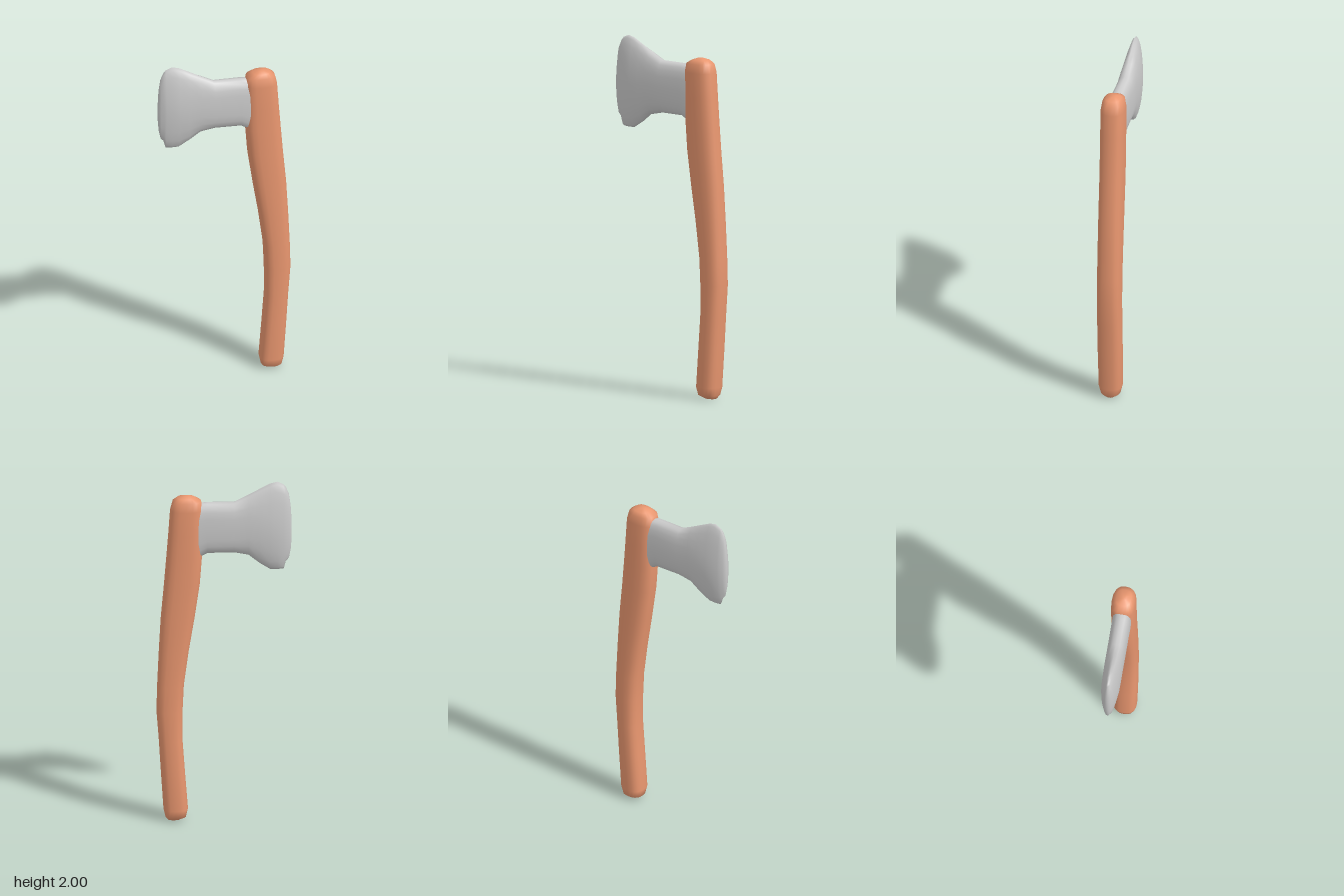
import * as THREE from 'three';

const SIDES = 20;

// Point on a rounded outline: power 2 is an ellipse, larger is boxier
function rounded(i, power) {
  const a = (i / SIDES) * Math.PI * 2;
  const bend = (v) => Math.sign(v) * Math.abs(v) ** (2 / power);
  return [bend(Math.cos(a)), bend(Math.sin(a))];
}

// Skin a row of sections; place(section, u, v) gives a point, u = v = 0 the centre
function loft(sections, powerOf, place) {
  const pos = [], index = [];
  for (const s of sections) {
    for (let i = 0; i < SIDES; i++) pos.push(...place(s, ...rounded(i, powerOf(s))));
  }
  const last = sections.length - 1;
  const start = pos.length / 3, end = start + 1;
  pos.push(...place(sections[0], 0, 0), ...place(sections[last], 0, 0));
  for (let i = 0; i < SIDES; i++) {
    const j = (i + 1) % SIDES;
    for (let r = 0; r < last; r++) {
      const a = r * SIDES + i, b = r * SIDES + j;
      index.push(a, b, b + SIDES, a, b + SIDES, a + SIDES);
    }
    index.push(start, j, i, end, last * SIDES + i, last * SIDES + j);
  }
  const geo = new THREE.BufferGeometry();
  geo.setAttribute('position', new THREE.Float32BufferAttribute(pos, 3));
  geo.setIndex(index);
  geo.computeVertexNormals();
  return geo;
}

export function createModel() {
  const group = new THREE.Group();
  group.name = 'axe';

  // Curved wooden handle: y, left x, right x, half depth
  const handleSections = [
    [0.005, 0.245, 0.31, 0.025], [0.025, 0.208, 0.325, 0.055], [0.07, 0.198, 0.335, 0.066],
    [0.3, 0.216, 0.35, 0.068], [0.48, 0.229, 0.361, 0.068], [0.65, 0.228, 0.374, 0.068],
    [0.8, 0.221, 0.37, 0.068], [1.0, 0.194, 0.361, 0.068], [1.2, 0.161, 0.35, 0.068],
    [1.4, 0.132, 0.332, 0.068], [1.56, 0.12, 0.319, 0.068], [1.7, 0.118, 0.308, 0.068],
    [1.84, 0.116, 0.298, 0.068], [1.89, 0.125, 0.285, 0.06], [1.91, 0.16, 0.258, 0.042],
    [1.92, 0.19, 0.225, 0.015],
  ];
  const handle = new THREE.Mesh(
    loft(handleSections, () => 2.6, ([y, x0, x1, d], u, v) =>
      [(x0 + x1) / 2 + (u * (x1 - x0)) / 2, y, -v * d]),
    new THREE.MeshStandardMaterial({ color: 0xe8966f }));
  handle.name = 'handle';

  // Metal head, socket to cutting edge: x, top y, bottom y, half depth, roundness power
  const headSections = [
    [0.2, 1.87, 1.56, 0.05, 2.8], [0.13, 1.876, 1.56, 0.052, 2.8], [0.09, 1.88, 1.583, 0.052, 2.8],
    [-0.06, 1.882, 1.585, 0.052, 2.6], [-0.14, 1.925, 1.568, 0.052, 2.3],
    [-0.2, 1.958, 1.52, 0.052, 2], [-0.26, 1.99, 1.483, 0.051, 1.8],
    [-0.3, 2.0, 1.482, 0.046, 1.8], [-0.335, 1.985, 1.487, 0.038, 1.8],
    [-0.347, 1.97, 1.53, 0.034, 1.9], [-0.364, 1.93, 1.55, 0.025, 2],
    [-0.374, 1.86, 1.6, 0.018, 2], [-0.379, 1.78, 1.66, 0.008, 2],
  ];
  const head = new THREE.Mesh(
    loft(headSections, (s) => s[4], ([x, y1, y0, d], u, v) =>
      [x, (y0 + y1) / 2 + (v * (y1 - y0)) / 2, u * d]),
    new THREE.MeshStandardMaterial({ color: 0xcccccc }));
  head.name = 'axeHead';

  group.add(handle, head);
  return group;
}
